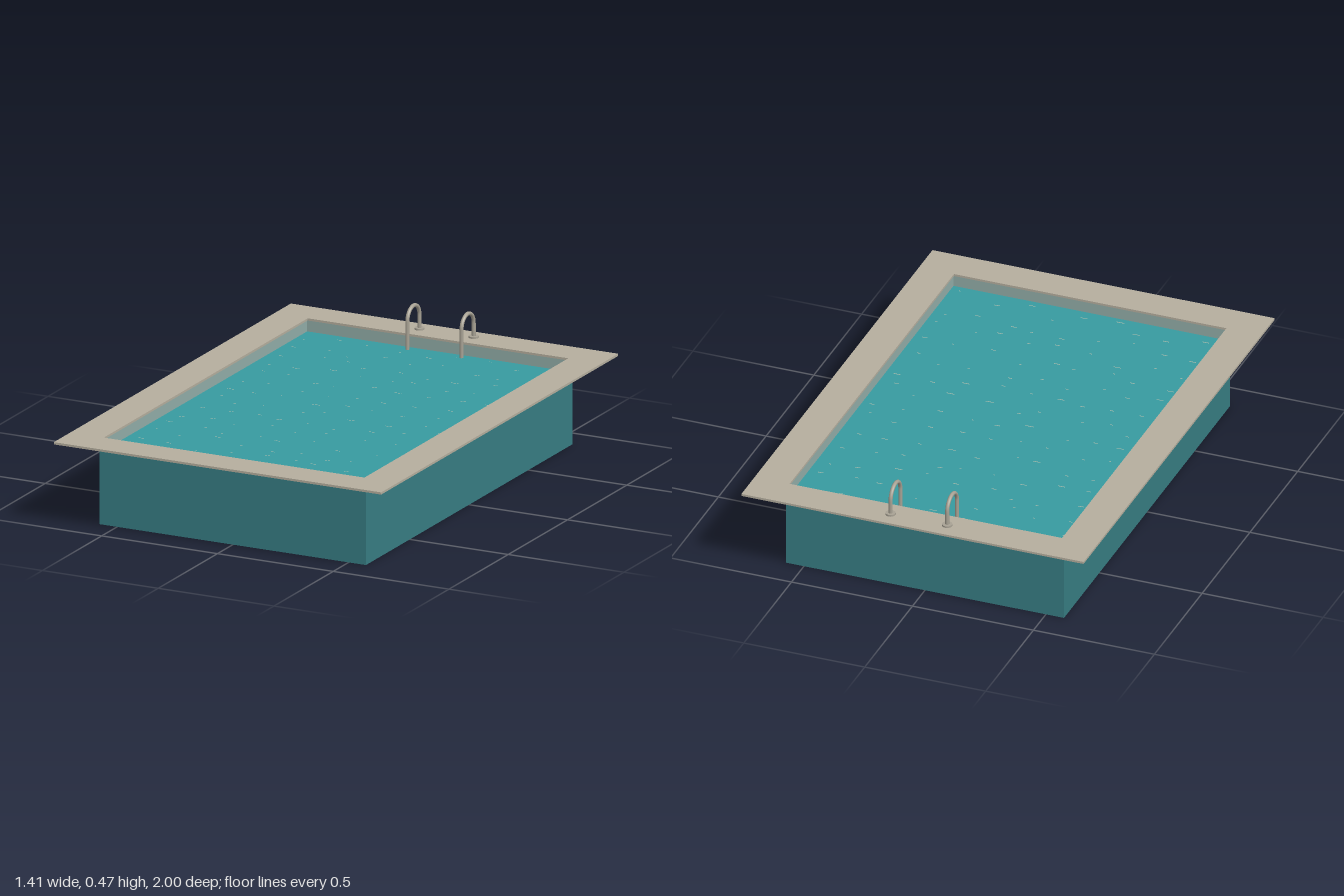
import * as THREE from 'three';
import { mergeGeometries } from 'three/addons/utils/BufferGeometryUtils.js';

const paint = (name, color) => {
  const m = new THREE.MeshStandardMaterial({ color });
  m.name = name;
  return m;
};

// Rectangular ring lying flat, from y to y + height
function frameGeometry(outX, outZ, inX, inZ, y, height) {
  const rect = (Type, a, b) => new Type([
    new THREE.Vector2(-a, -b), new THREE.Vector2(a, -b),
    new THREE.Vector2(a, b), new THREE.Vector2(-a, b),
  ]);
  const shape = rect(THREE.Shape, outX, outZ);
  shape.holes.push(rect(THREE.Path, inX, inZ));
  return new THREE.ExtrudeGeometry(shape, { depth: height, bevelEnabled: false })
    .rotateX(-Math.PI / 2).translate(0, y, 0);
}

export function createModel() {
  const group = new THREE.Group();
  group.name = 'swimmingPool';
  const stone = paint('deckStone', 0xb5ae9e);
  const basinBlue = paint('basinTeal', 0x377d83);
  const tile = paint('paleTile', 0x92ada8);
  const waterBlue = paint('waterTurquoise', 0x379ba0);
  const glint = paint('rippleGlint', 0xa9b8a8);
  const steel = paint('railSteel', 0xa8a294);

  const add = (name, geometry, material, parent = group) => {
    const mesh = new THREE.Mesh(geometry, material);
    mesh.name = name;
    parent.add(mesh);
    return mesh;
  };

  const waterY = 0.295, deckY = 0.339, deckTop = 0.348;

  // Basin, tiled waterline and paved surround
  add('basin', new THREE.BoxGeometry(1.15, waterY - 0.002, 1.74).translate(0, (waterY - 0.002) / 2, 0), basinBlue);
  add('waterlineTiles', frameGeometry(0.575, 0.87, 0.565, 0.86, waterY - 0.002, deckY - waterY + 0.002), tile);
  add('deck', frameGeometry(0.707, 1, 0.563, 0.86, deckY, deckTop - deckY), stone);

  // Water surface
  add('water', new THREE.PlaneGeometry(1.13, 1.72).rotateX(-Math.PI / 2).translate(0, waterY, 0), waterBlue);

  // Small glints scattered on a jittered grid
  let seed = 7;
  const random = () => (seed = (seed * 16807) % 2147483647) / 2147483647;
  const glints = [];
  for (let col = 0; col < 9; col++) {
    for (let row = 0; row < 14; row++) {
      const x = (col - 4) * 0.125 + (random() - 0.5) * 0.06;
      const z = (row - 6.5) * 0.122 + (random() - 0.5) * 0.08;
      const length = 0.008 + 0.026 * random() ** 2;
      glints.push(new THREE.PlaneGeometry(length, 0.004)
        .rotateX(-Math.PI / 2).translate(x, waterY + 0.002, z));
    }
  }
  add('rippleGlints', mergeGeometries(glints), glint);

  // Pair of arched handrails with deck flanges
  const backZ = -0.933, frontZ = -0.83, archY = 0.406;
  const midZ = (backZ + frontZ) / 2, archR = (frontZ - backZ) / 2;
  const path = new THREE.CurvePath();
  const arch = [];
  for (let i = 0; i <= 12; i++) {
    const a = Math.PI * (1 - i / 12);
    arch.push(new THREE.Vector3(0, archY + archR * Math.sin(a), midZ + archR * Math.cos(a)));
  }
  path.add(new THREE.LineCurve3(new THREE.Vector3(0, deckTop, backZ), arch[0]));
  path.add(new THREE.CatmullRomCurve3(arch));
  path.add(new THREE.LineCurve3(arch[12], new THREE.Vector3(0, 0.285, frontZ)));
  for (const side of [-1, 1]) {
    const rail = new THREE.Group();
    rail.name = side > 0 ? 'leftHandrail' : 'rightHandrail';
    rail.position.x = side * 0.117;
    add('railTube', new THREE.TubeGeometry(path, 48, 0.008, 10), steel, rail);
    add('railFlange', new THREE.CylinderGeometry(0.02, 0.02, 0.007, 20)
      .translate(0, deckTop + 0.0035, backZ), steel, rail);
    group.add(rail);
  }
  return group;
}
